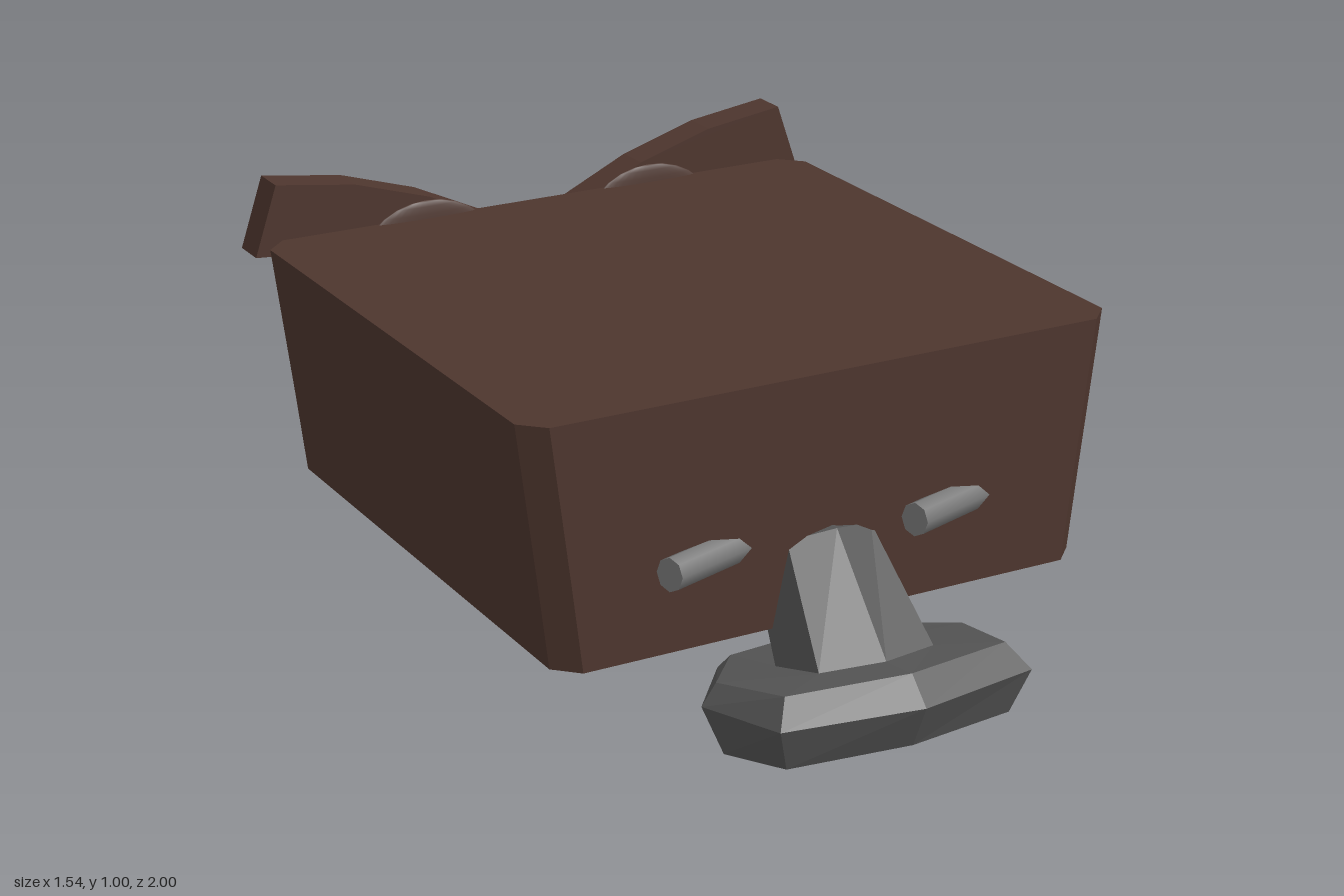
import * as THREE from 'three';

const mat = (name, color) => {
  const m = new THREE.MeshStandardMaterial({ color });
  m.name = name;
  return m;
};

// Faceted skin through closed rings of equal length, with both ends capped
function loft(rings) {
  const pos = [];
  const tri = (...pts) => pts.forEach((p) => pos.push(p.x, p.y, p.z));
  const n = rings[0].length;
  for (let r = 0; r < rings.length - 1; r++) {
    const a = rings[r], b = rings[r + 1];
    for (let i = 0; i < n; i++) {
      const j = (i + 1) % n;
      tri(a[i], a[j], b[j]);
      tri(a[i], b[j], b[i]);
    }
  }
  const first = rings[0], last = rings[rings.length - 1];
  for (let i = 1; i < n - 1; i++) {
    tri(first[0], first[i + 1], first[i]);
    tri(last[0], last[i], last[i + 1]);
  }
  const g = new THREE.BufferGeometry();
  g.setAttribute('position', new THREE.Float32BufferAttribute(pos, 3));
  g.computeVertexNormals();
  return g;
}

// Rectangle with cut corners at height y
function caseRing(y, hx) {
  const c = 0.055, f = 0.6, b = -0.845;
  return [
    [-hx + c, f], [hx - c, f], [hx, f - c], [hx, b + c],
    [hx - c, b], [-hx + c, b], [-hx, b + c], [-hx, f - c],
  ].map(([x, z]) => new THREE.Vector3(x, y, z));
}

// Tilted eight-sided ring, pointed towards the front
function footRing([hx, zBack, yBack, zFront, yFront]) {
  const half = [[0, 1], [0.88, 0.76], [1, -0.15], [0.55, -0.9], [0, -1]];
  const outline = [...half, ...half.slice(1, 4).reverse().map(([x, z]) => [-x, z])];
  return outline.map(([x, z]) => {
    const t = (z + 1) / 2;
    return new THREE.Vector3(
      x * hx,
      THREE.MathUtils.lerp(yBack, yFront, t),
      THREE.MathUtils.lerp(zBack, zFront, t)
    );
  });
}

export function createModel() {
  const model = new THREE.Group();
  const leather = mat('brown leather', 0x4e362e);
  const rubber = mat('dark grey', 0x565656);
  const metal = mat('grey metal', 0x7a7a7a);
  const iris = mat('iris brown', 0x4b2c22);
  const dark = mat('dark keyhole', 0x4a4a4a);

  const add = (name, geometry, material, x = 0, y = 0, z = 0, parent = model) => {
    const mesh = new THREE.Mesh(geometry, material);
    mesh.name = name;
    mesh.position.set(x, y, z);
    parent.add(mesh);
    return mesh;
  };

  // Case: shallow tray and taller lid, widening upwards
  add('tray', loft([caseRing(0.27, 0.685), caseRing(0.48, 0.71)]), leather);
  add('lid', loft([caseRing(0.48, 0.71), caseRing(0.857, 0.757)]), leather);

  // Hollow flared foot on a slanting stem
  const foot = [
    [0.2, 0.56, 0.11, 0.84, 0.17],
    [0.28, 0.54, 0.01, 0.91, 0.088],
    [0.33, 0.5, 0, 0.95, 0.095],
    [0.37, 0.41, 0.115, 1.0, 0.205],
    [0.325, 0.43, 0.145, 0.94, 0.265],
    [0.17, 0.5, 0.16, 0.835, 0.25],
    [0.125, 0.34, 0.31, 0.62, 0.49],
    [0.06, 0.38, 0.36, 0.57, 0.49],
  ].map(footRing);
  add('foot', loft(foot), rubber);

  // Carrying handle
  const path = new THREE.CurvePath();
  const v = (x, z) => new THREE.Vector3(x, 0.525, z);
  path.add(new THREE.LineCurve3(v(-0.155, -0.83), v(-0.155, -0.925)));
  path.add(new THREE.QuadraticBezierCurve3(v(-0.155, -0.925), v(-0.15, -0.967), v(-0.11, -0.967)));
  path.add(new THREE.LineCurve3(v(-0.11, -0.967), v(0.11, -0.967)));
  path.add(new THREE.QuadraticBezierCurve3(v(0.11, -0.967), v(0.15, -0.967), v(0.155, -0.925)));
  path.add(new THREE.LineCurve3(v(0.155, -0.925), v(0.155, -0.83)));
  add('handle', new THREE.TubeGeometry(path, 32, 0.033, 8), metal);

  // Eyebrow outline, for the +x side
  const browShape = new THREE.Shape([
    [0.1, 0.67], [0.3, 0.74], [0.52, 0.8], [0.77, 0.82],
    [0.71, 0.997], [0.5, 0.967], [0.3, 0.905], [0.12, 0.82],
  ].map((p) => new THREE.Vector2(...p)));
  const mirrored = new THREE.Shape(
    browShape.getPoints().map((p) => new THREE.Vector2(-p.x, p.y)).reverse()
  );

  const disc = (rx, ry, depth) =>
    new THREE.CylinderGeometry(1, 1, depth, 28).rotateX(Math.PI / 2).scale(rx, ry, 1);

  for (const s of [1, -1]) {
    const side = s > 0 ? 'left' : 'right';

    // Eye: socket, eyeball and iris, under a heavy brow
    add(side + 'EyeSocket', new THREE.SphereGeometry(1, 28, 14).scale(0.19, 0.152, 0.016),
      leather, s * 0.315, 0.75, -0.84);
    add(side + 'Eyeball', disc(0.175, 0.138, 0.009), metal, s * 0.315, 0.745, -0.853);
    add(side + 'Iris', disc(0.065, 0.08, 0.006), iris, s * 0.295, 0.7, -0.857);
    const brow = new THREE.ExtrudeGeometry(s > 0 ? browShape : mirrored,
      { depth: 0.092, bevelEnabled: false });
    add(side + 'Eyebrow', brow, leather, 0, 0, -0.945);

    // Latch beside the handle
    const latch = new THREE.Group();
    latch.name = side + 'Latch';
    latch.position.set(s * 0.535, 0.47, -0.85);
    model.add(latch);
    add('latchPlate', new THREE.BoxGeometry(0.13, 0.075, 0.02), metal, 0, 0, 0, latch);
    add('latchClasp', new THREE.BoxGeometry(0.06, 0.045, 0.02), metal, 0, 0.008, -0.01, latch);
    add('latchSlot', new THREE.BoxGeometry(0.02, 0.02, 0.006), dark, 0, 0.005, -0.02, latch);

    // Hinge on the opposite long edge
    const hinge = new THREE.CylinderGeometry(0.041, 0.041, 0.265, 8)
      .rotateX(Math.PI / 8).rotateZ(Math.PI / 2).scale(1, 1, 0.8);
    add(side + 'Hinge', hinge, metal, s * 0.315, 0.478, 0.6);
  }
  return model;
}
